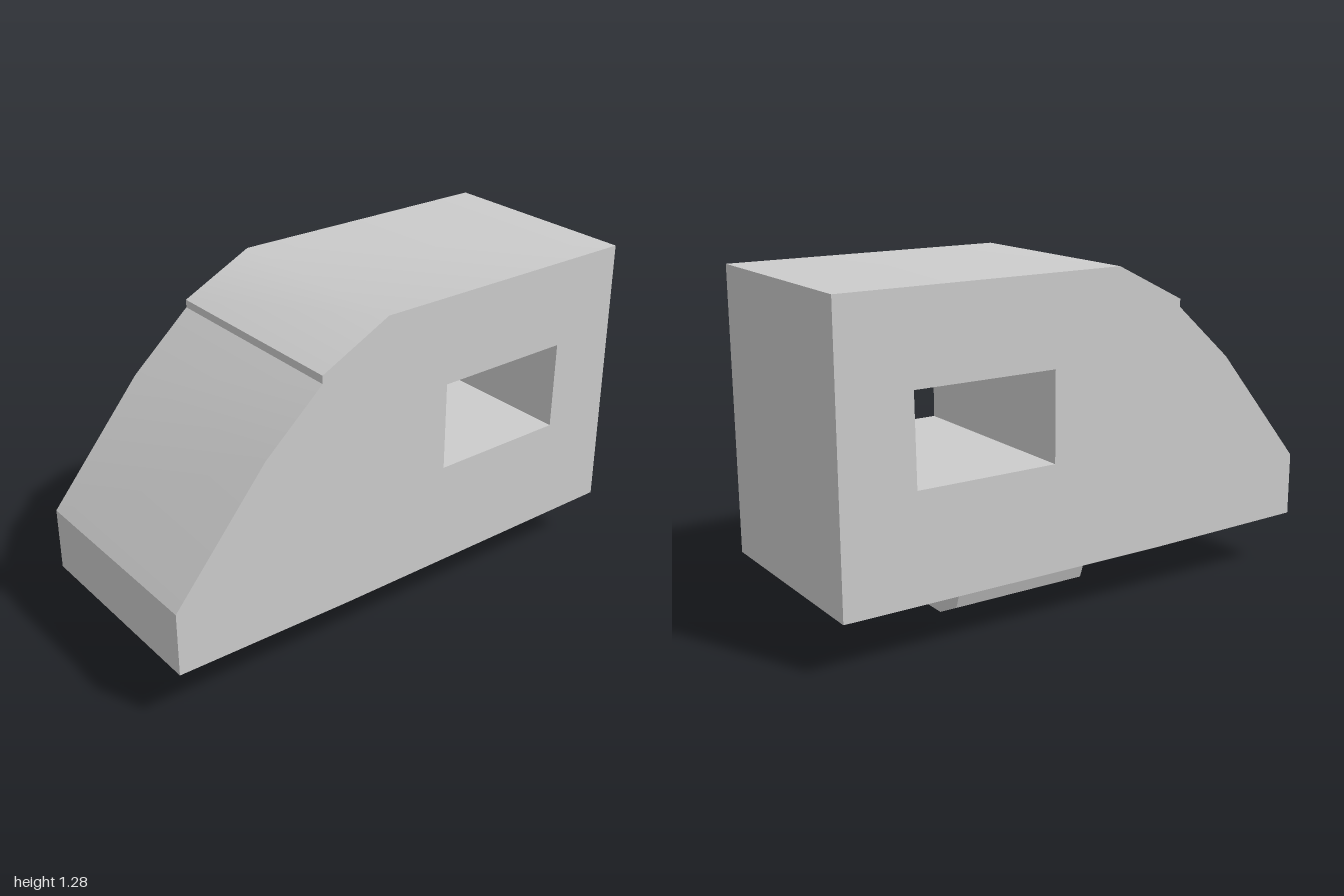
import * as THREE from 'three';
import { toCreasedNormals } from 'three/addons/utils/BufferGeometryUtils.js';

const toShape = (pts) => new THREE.Shape(pts.map(([x, y]) => new THREE.Vector2(x, y)));

export function createModel() {
  const model = new THREE.Group();
  model.name = 'wedgeBlock';
  const solid = new THREE.MeshStandardMaterial({ color: 0xcccccc });
  const thin = new THREE.MeshStandardMaterial({ color: 0xcccccc, side: THREE.DoubleSide });
  const add = (name, geometry, material, parent = model) => {
    const mesh = new THREE.Mesh(geometry, material);
    mesh.name = name;
    parent.add(mesh);
    return mesh;
  };

  // Body: side profile (z, y) with a window right through, extruded across x
  const width = 0.835;
  const profile = toShape([
    [-1, 0.2], [0.3, 0.2], [1, 0.21], [1, 0.455], [0.63, 0.9],
    [0.395, 1.11], [0.395, 1.14], [0.115, 1.28], [-1, 1.28],
  ]);
  profile.holes.push(new THREE.Path([
    [-0.16, 0.605], [-0.715, 0.605], [-0.72, 0.945], [-0.16, 0.945],
  ].map(([x, y]) => new THREE.Vector2(x, y))));
  const body = new THREE.ExtrudeGeometry(profile, { depth: width, bevelEnabled: false });
  body.translate(0, 0, -width / 2).rotateY(-Math.PI / 2);
  add('body', toCreasedNormals(body, 0.6), solid);

  // Foot: thin-walled tapered trough under the body, open at the bottom
  const foot = new THREE.Group();
  foot.name = 'foot';
  model.add(foot);
  const half = [[0.25, 0.2], [0.198, 0.055], [0.083, 0]];
  const front = 0.118, back = -0.44;
  for (const side of [1, -1]) {
    const wall = new THREE.PlaneGeometry(1, 1, 2, 1);
    const p = wall.attributes.position;
    for (let i = 0; i < p.count; i++) {
      const [x, y] = half[i % 3];
      p.setXYZ(i, side * x, y, i < 3 ? front : back);
    }
    if (side > 0) wall.index.array.reverse(); // keep faces outward
    const flat = wall.toNonIndexed();
    flat.computeVertexNormals();
    add(side > 0 ? 'footLeftWall' : 'footRightWall', flat, thin, foot);
  }
  const outline = toShape([...half, ...half.map(([x, y]) => [-x, y]).reverse()]);
  add('footFrontWall', new THREE.ShapeGeometry(outline), thin, foot).position.z = front;
  const rear = add('footBackWall', new THREE.ShapeGeometry(outline), thin, foot);
  rear.position.z = back;
  rear.rotation.y = Math.PI;

  return model;
}
